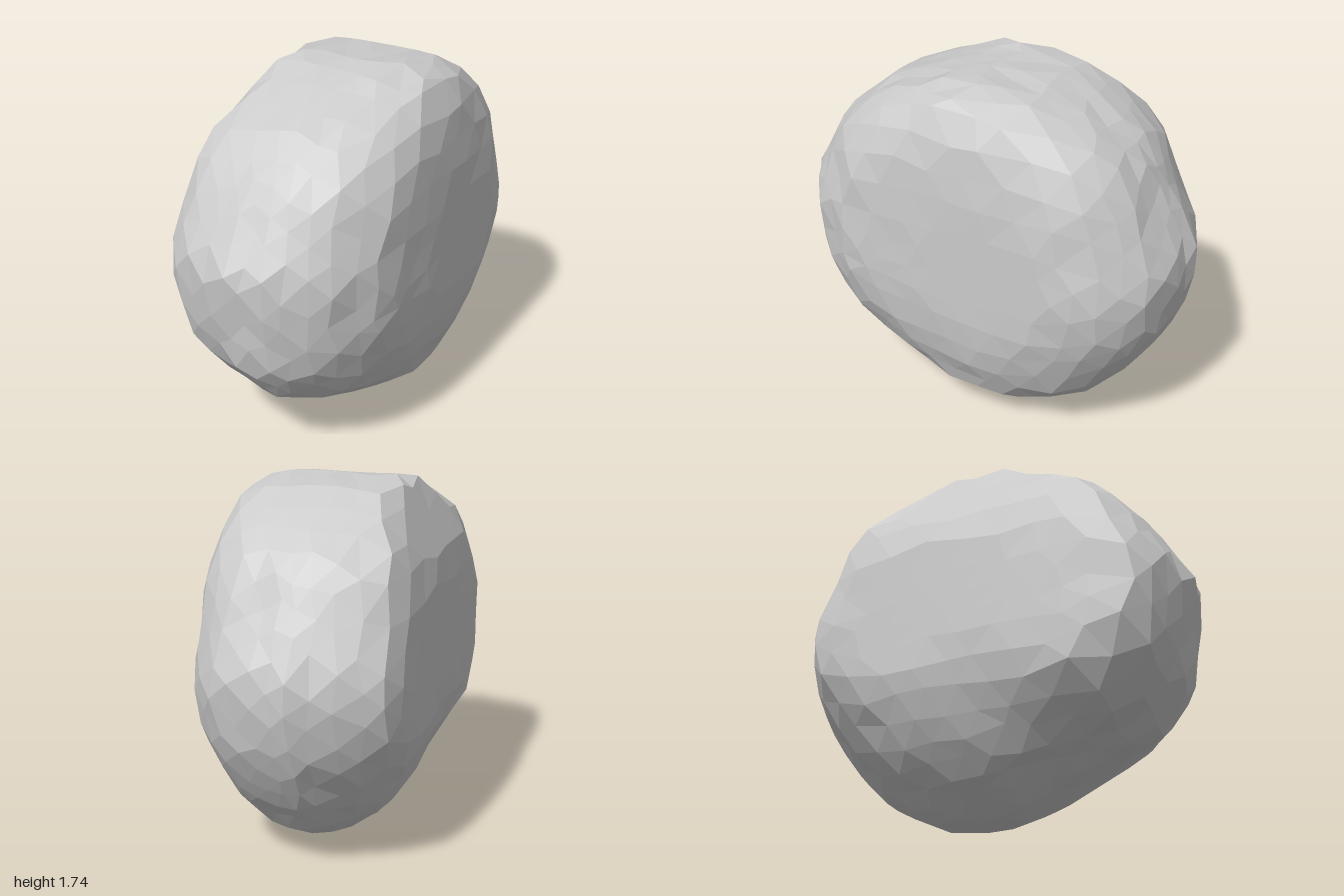
import * as THREE from 'three';
import { mergeVertices } from 'three/addons/utils/BufferGeometryUtils.js';

const CENTRE_Y = 0.88;

// side outline as [z, y], counter-clockwise
const OUTLINE = [
  [1, 1.03], [0.87, 1.25], [0.77, 1.42], [0.53, 1.6], [0.07, 1.75], [-0.35, 1.72], [-0.6, 1.59],
  [-0.75, 1.47], [-0.87, 1.24], [-0.97, 1.07], [-1, 0.93], [-0.94, 0.62], [-0.76, 0.34],
  [-0.6, 0.16], [-0.37, 0.03], [-0.2, 0], [0.1, 0.01], [0.38, 0.13], [0.75, 0.32], [0.93, 0.55],
].map(([z, y]) => [z, y - CENTRE_Y]);

// edge profiles across the width: [x, share of the outline radius]
const TOP = [[-0.53, 0], [-0.51, 0.6], [-0.42, 0.95], [-0.3, 1], [0.27, 1], [0.4, 0.95], [0.48, 0.8], [0.505, 0.5], [0.52, 0]];
const BOTTOM = [[-0.52, 0], [-0.5, 0.22], [-0.48, 0.37], [-0.4, 0.62], [-0.3, 0.8], [-0.1, 0.95], [0.04, 1],
  [0.14, 0.965], [0.37, 0.8], [0.47, 0.55], [0.5, 0.32], [0.52, 0]];
const FRONT = [[-0.52, 0], [-0.5, 0.8], [-0.42, 0.9], [-0.28, 0.96], [-0.05, 1], [0.1, 0.98], [0.23, 0.92],
  [0.33, 0.84], [0.42, 0.68], [0.48, 0.57], [0.5, 0.25], [0.52, 0]];
const BACK = [[-0.53, 0], [-0.52, 0.62], [-0.47, 0.8], [-0.33, 0.9], [-0.2, 0.95], [-0.08, 1], [0.08, 0.98],
  [0.23, 0.96], [0.35, 0.87], [0.45, 0.74], [0.51, 0.57], [0.53, 0]];

// worn planes: unit normal and distance from the centre
const CUTS = [
  [new THREE.Vector3(1, 0, 0), 0.51],
  [new THREE.Vector3(-1, 0, 0), 0.51],
  [new THREE.Vector3(-0.904, 0.428, 0), 0.66],
  [new THREE.Vector3(0, 1, 0), 0.87],
  [new THREE.Vector3(0, -1, 0), CENTRE_Y],
  [new THREE.Vector3(0, 0, 1), 1],
  [new THREE.Vector3(0, 0, -1), 1],
];

// distance from the centre to the outline along a unit (z, y) direction
function outlineRadius(cz, cy) {
  for (let i = 0; i < OUTLINE.length; i++) {
    const [az, ay] = OUTLINE[i];
    const [bz, by] = OUTLINE[(i + 1) % OUTLINE.length];
    const ez = bz - az, ey = by - ay;
    const det = cz * ey - cy * ez;
    if (Math.abs(det) < 1e-9) continue;
    const t = (az * ey - ay * ez) / det;
    const s = (az * cy - ay * cz) / det;
    if (t > 0 && s >= -1e-6 && s <= 1 + 1e-6) return t;
  }
  return 0.9;
}

// height of a profile at x, zero beyond its ends
function profileAt(profile, x) {
  for (let i = 1; i < profile.length; i++) {
    const [ax, as] = profile[i - 1], [bx, bs] = profile[i];
    if (x >= ax && x <= bx) return as + (bs - as) * (x - ax) / (bx - ax);
  }
  return 0;
}

// repeatable value in -1..1 for a vertex number
function noise(i, seed) {
  const v = Math.sin(i * 12.9898 + seed * 78.233) * 43758.5453;
  return (v - Math.floor(v)) * 2 - 1;
}

// surface distance along d: blended profiles swept round the outline, then cut
function surfaceRadius(d, bump) {
  const flat = Math.hypot(d.z, d.y) || 1e-6;
  const cz = d.z / flat, cy = d.y / flat;
  const rim = outlineRadius(cz, cy);
  const upright = cy > 0 ? TOP : BOTTOM;
  const lengthwise = cz > 0 ? FRONT : BACK;
  let lo = 0, hi = 2;
  for (let i = 0; i < 30; i++) {
    const r = (lo + hi) / 2;
    const x = r * d.x;
    const limit = cy * cy * profileAt(upright, x) + cz * cz * profileAt(lengthwise, x);
    if (r * flat / rim < limit) lo = r; else hi = r;
  }
  let r = lo * bump;
  for (const [n, dist] of CUTS) {
    const facing = n.dot(d);
    if (facing > 0) r = Math.min(r, dist / facing);
  }
  return r;
}

export function createModel() {
  const group = new THREE.Group();
  group.name = 'rock';

  // faceted boulder: shared corners are moved once, then split for flat faces
  const sphere = new THREE.IcosahedronGeometry(1, 6);
  sphere.deleteAttribute('uv');
  sphere.deleteAttribute('normal');
  const welded = mergeVertices(sphere, 1e-4);
  const pos = welded.attributes.position;
  const d = new THREE.Vector3();
  for (let i = 0; i < pos.count; i++) {
    d.fromBufferAttribute(pos, i);
    d.set(
      (d.x + 0.03 * noise(i, 1)) * 0.6,
      (d.y + 0.03 * noise(i, 2)) * 0.88,
      d.z + 0.03 * noise(i, 3),
    ).normalize();
    d.multiplyScalar(surfaceRadius(d, 1.004 + 0.008 * noise(i, 4)));
    pos.setXYZ(i, d.x, d.y + CENTRE_Y, d.z);
  }
  const geometry = welded.toNonIndexed();
  geometry.computeVertexNormals();

  const boulder = new THREE.Mesh(
    geometry,
    new THREE.MeshStandardMaterial({ color: 0xcccccc, flatShading: true }),
  );
  boulder.name = 'boulder';
  group.add(boulder);
  return group;
}
